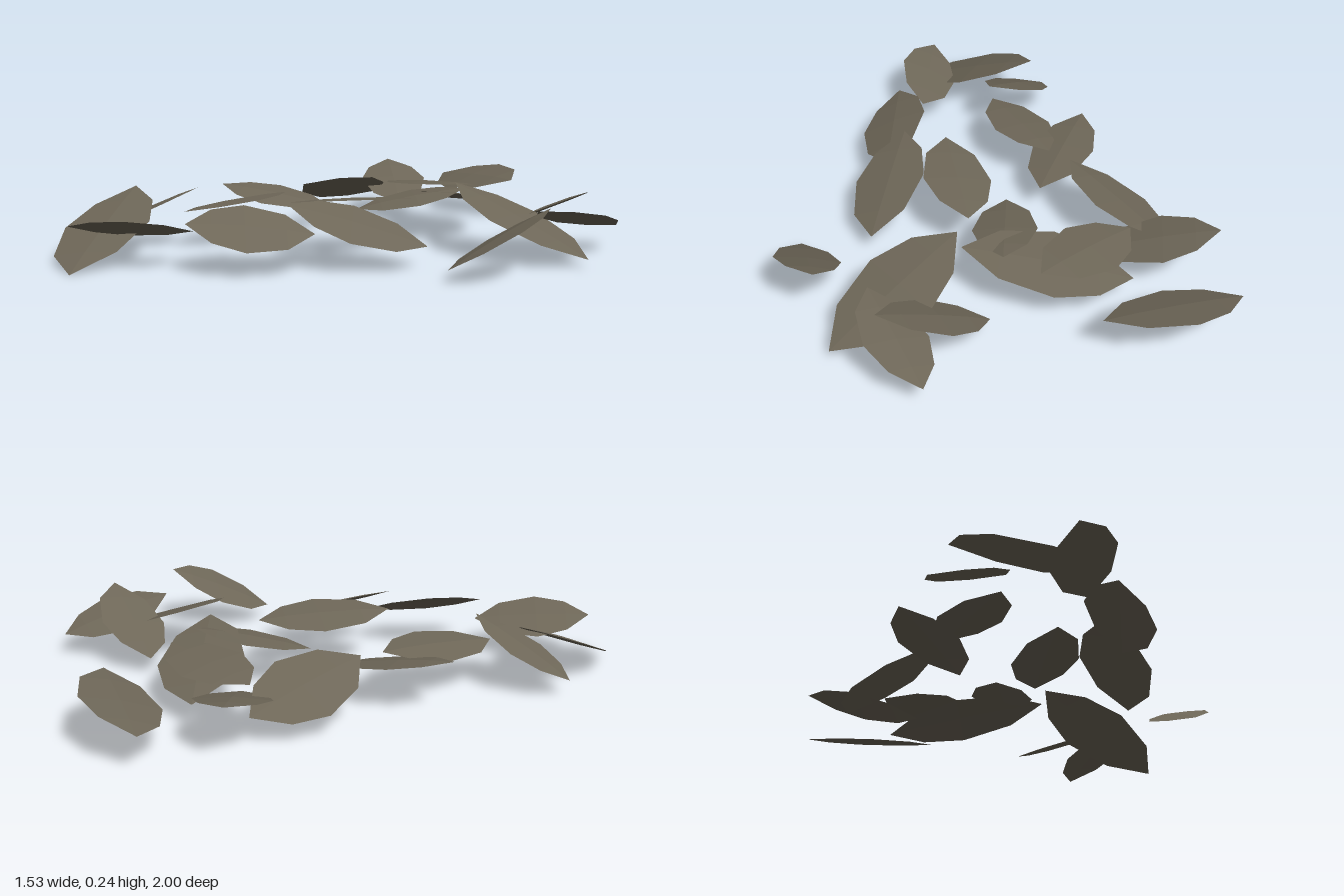
import * as THREE from 'three';

// half-outline of a leaf: position along the midrib, relative half-width
const OUTLINE = [[0, 0], [0.2, 0.7], [0.46, 1], [0.78, 0.73], [1, 0]];

// each leaf: base tip x,y,z, far tip x,y,z, half-width, rise of the side edge
const LEAVES = [
  // back and centre
  [-0.46, 0.12, -0.94, 0.03, 0.16, -0.80, 0.133, -0.04],
  [-0.57, 0.195, -0.705, -0.24, 0.08, -0.43, 0.13, 0],
  [-0.36, 0.15, -0.475, 0.07, 0.18, -0.52, 0.125, 0.012],
  [-0.25, 0.08, -0.63, 0.22, 0.195, -0.27, 0.15, 0.02],
  [0.13, 0.19, -0.39, -0.12, 0.12, -0.065, 0.115, 0.01],
  [0.10, 0.18, -0.14, -0.10, 0.195, 0.30, 0.125, -0.022],
  [0.02, 0.215, 0.40, 0.37, 0.075, 0.08, 0.13, -0.04],
  [-0.15, 0.17, 0.71, 0.12, 0.125, 0.37, 0.12, -0.058],
  // left column in plan
  [-0.47, 0.09, -0.55, -0.41, 0.18, -0.065, 0.135, -0.055],
  [-0.64, 0.18, 0.15, -0.27, 0.11, -0.07, 0.12, -0.015],
  [-0.395, 0.165, 0.04, -0.45, 0.14, 0.485, 0.118, -0.018],
  [-0.765, 0.06, 0.57, -0.41, 0.23, 0.45, 0.115, -0.015],
  [-0.675, 0.215, 0.53, -0.41, 0, 0.998, 0.163, -0.02],
  [-0.48, 0.15, 0.955, -0.21, 0.125, 0.63, 0.105, 0.045],
  // right cluster in plan
  [0.26, 0.06, -0.50, 0.66, 0.235, -0.43, 0.118, -0.018],
  [0.215, 0.24, -0.24, 0.765, 0.03, -0.30, 0.158, 0.01],
  [0.72, 0.225, -0.14, 0.58, 0.05, 0.215, 0.115, -0.035],
  [0.63, 0.08, -0.66, 0.58, 0.18, -0.25, 0.115, -0.03],
];

// two flat-faceted halves meeting on a slightly raised midrib
function leafGeometry([ax, ay, az, bx, by, bz, width, rise]) {
  const a = new THREE.Vector3(ax, ay, az);
  const b = new THREE.Vector3(bx, by, bz);
  const side = new THREE.Vector3(az - bz, 0, bx - ax).setLength(width);
  side.y = rise;
  const positions = [];
  const tri = (...points) => points.forEach((p) => positions.push(p.x, p.y, p.z));

  for (const s of [1, -1]) {
    const rib = OUTLINE.map(([t, w]) => {
      const p = a.clone().lerp(b, t);
      p.y += 0.01 * w;
      return p;
    });
    const edge = OUTLINE.map(([t, w]) => a.clone().lerp(b, t).addScaledVector(side, s * w));
    for (let i = 0; i < OUTLINE.length - 1; i++) {
      const faces = [];
      if (i > 0) faces.push([rib[i], edge[i], edge[i + 1]]);
      if (i < OUTLINE.length - 2) faces.push([rib[i], edge[i + 1], rib[i + 1]]);
      for (const [p, q, r] of faces) s > 0 ? tri(p, q, r) : tri(p, r, q);
    }
  }
  const geometry = new THREE.BufferGeometry();
  geometry.setAttribute('position', new THREE.Float32BufferAttribute(positions, 3));
  geometry.computeVertexNormals();
  return geometry;
}

export function createModel() {
  const group = new THREE.Group();
  group.name = 'scatteredLeaves';
  const dryLeaf = new THREE.MeshStandardMaterial({
    color: 0x6e6758, flatShading: true, side: THREE.DoubleSide,
  });
  dryLeaf.name = 'dry leaf';
  LEAVES.forEach((spec, i) => {
    const leaf = new THREE.Mesh(leafGeometry(spec), dryLeaf);
    leaf.name = `leaf${i + 1}`;
    group.add(leaf);
  });
  return group;
}
